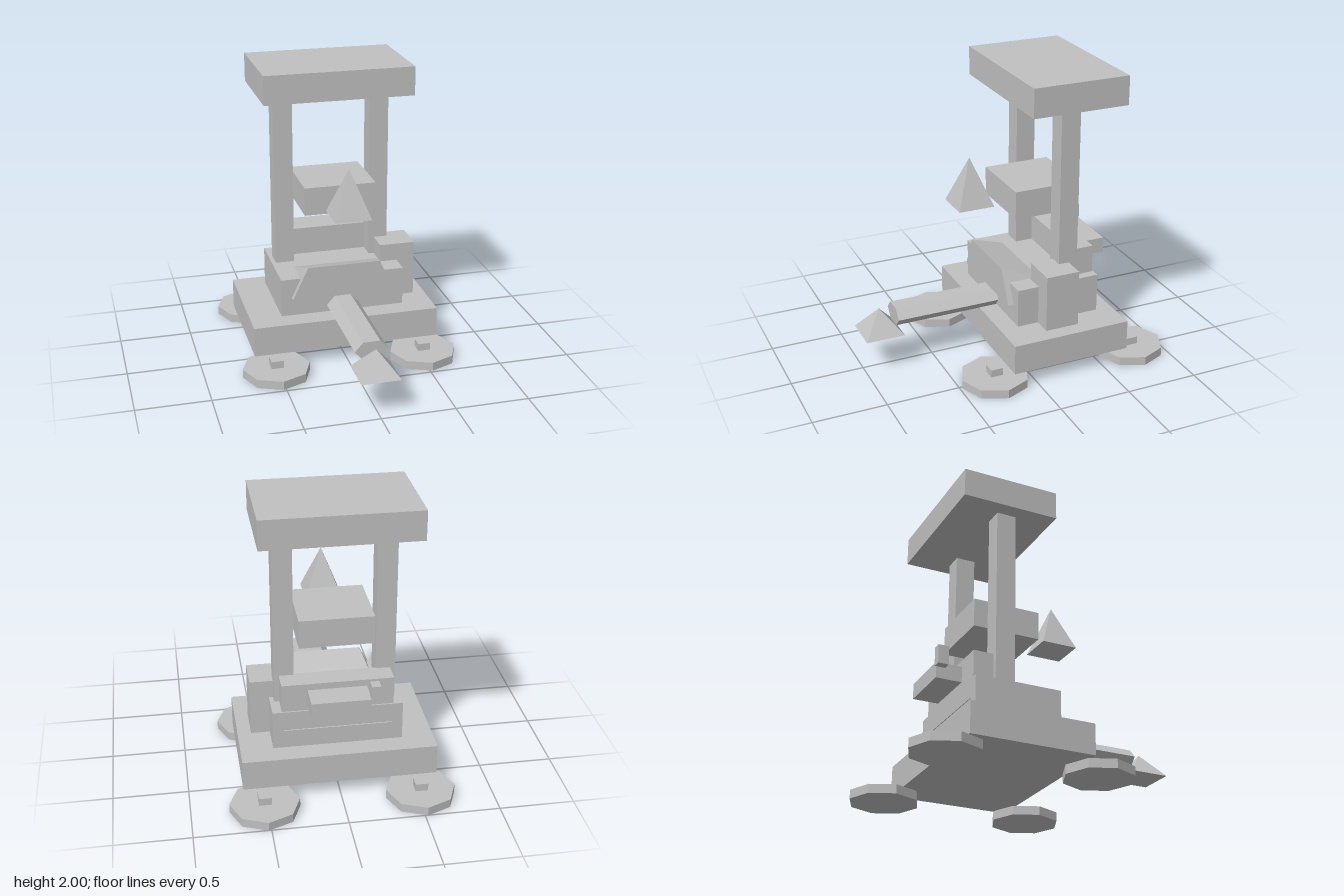
import * as THREE from 'three';
import { ConvexGeometry } from 'three/addons/geometries/ConvexGeometry.js';

export function createModel() {
  const model = new THREE.Group();
  model.name = 'machine';
  const grey = new THREE.MeshStandardMaterial({ color: 0xc0c0c0, flatShading: true });
  grey.name = 'grey';

  const add = (name, geometry) => {
    const mesh = new THREE.Mesh(geometry, grey);
    mesh.name = name;
    model.add(mesh);
    return mesh;
  };
  // Box given by its extents on each axis
  const box = (name, [x0, x1], [y0, y1], [z0, z1]) =>
    add(name, new THREE.BoxGeometry(x1 - x0, y1 - y0, z1 - z0))
      .position.set((x0 + x1) / 2, (y0 + y1) / 2, (z0 + z1) / 2);
  // Square pyramid with its sides parallel to x and z
  const pyramid = (name, halfWidth, y0, y1, z) =>
    add(name, new THREE.ConeGeometry(halfWidth * Math.SQRT2, y1 - y0, 4).rotateY(Math.PI / 4))
      .position.set(0, (y0 + y1) / 2, z);

  // Chassis and body
  box('basePlate', [-0.648, 0.648], [0.1, 0.308], [-0.675, 0.162]);
  box('body', [-0.432, 0.432], [0.32, 0.587], [-0.55, 0.042]);
  box('rearHousing', [-0.37, 0.37], [0.58, 0.78], [-0.54, -0.39]);
  box('sideEngine', [0.31, 0.558], [0.318, 0.71], [-0.342, -0.107]);
  box('rearTank', [-0.19, 0.2], [0.628, 0.735], [-0.717, -0.54]);
  box('exhaust', [-0.247, -0.187], [0.705, 0.832], [-0.727, -0.655]);

  // Wedge running through the body, its thin edge just out at the back
  const wedge = [];
  for (const s of [-1, 1]) {
    wedge.push(
      new THREE.Vector3(s * 0.36, 0.45, 0.083),
      new THREE.Vector3(s * 0.253, 0.677, 0.083),
      new THREE.Vector3(s * 0.36, 0.45, -0.555));
  }
  add('frontWedge', new ConvexGeometry(wedge));

  // Canopy, its posts, and the floating seat and pyramid
  box('canopy', [-0.512, 0.512], [1.803, 2], [-0.687, -0.018]);
  for (const [side, x] of [['left', 0.338], ['right', -0.338]]) {
    box(side + 'Post', [x - 0.066, x + 0.066], [0.55, 1.805], [-0.403, -0.268]);
  }
  box('seat', [-0.247, 0.247], [1.017, 1.212], [-0.488, -0.022]);
  pyramid('floatingPyramid', 0.125, 1.08, 1.405, 0.203);

  // Flattened six-sided arm and its tip
  const arm = new THREE.CylinderGeometry(0.113, 0.113, 0.77, 6)
    .rotateY(Math.PI / 2).rotateX(Math.PI / 2).scale(1, 0.64, 1);
  add('arm', arm).position.set(0, 0.368, 0.385);
  pyramid('armTip', 0.133, 0.26, 0.428, 0.87);

  // Four octagonal feet with square bolts
  for (const x of [-0.518, 0.518]) {
    for (const z of [-0.77, 0.252]) {
      add('foot', new THREE.CylinderGeometry(0.232, 0.232, 0.06, 8)).position.set(x, 0.03, z);
      box('footBolt', [x - 0.042, x + 0.042], [0.05, 0.112], [z - 0.042, z + 0.042]);
    }
  }
  return model;
}
